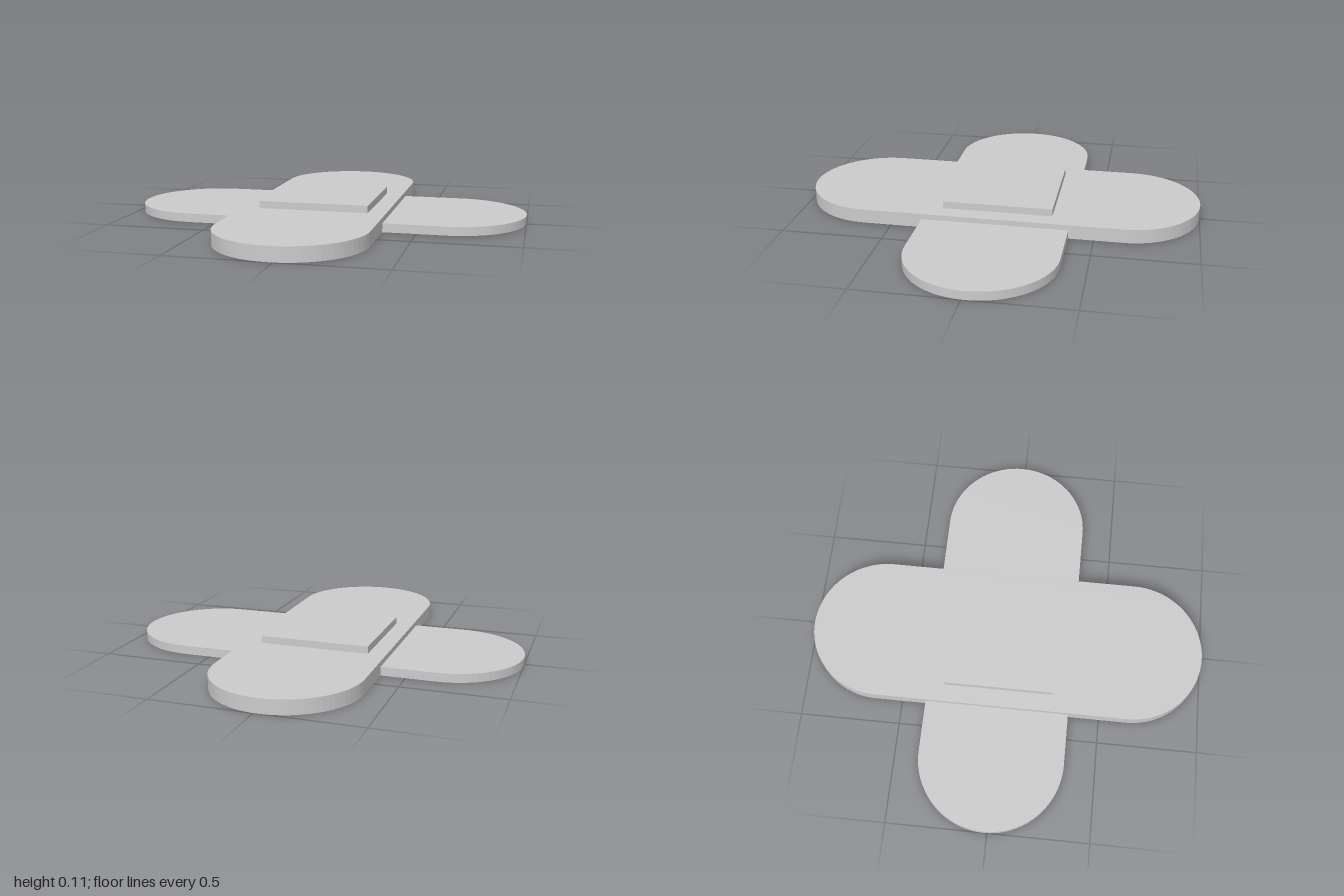
import * as THREE from 'three';

const material = new THREE.MeshStandardMaterial({ color: 0xcccccc, flatShading: true });

// Flat strip lying along x, with a half-round cap at each end
function roundedStrip(length, width, height) {
  const r = width / 2;
  const s = length / 2 - r;
  const shape = new THREE.Shape();
  shape.moveTo(-s, -r);
  shape.lineTo(s, -r);
  shape.absarc(s, 0, r, -Math.PI / 2, Math.PI / 2, false);
  shape.lineTo(-s, r);
  shape.absarc(-s, 0, r, Math.PI / 2, Math.PI * 1.5, false);
  const geometry = new THREE.ExtrudeGeometry(shape, { depth: height, bevelEnabled: false, curveSegments: 20 });
  return geometry.rotateX(-Math.PI / 2);
}

export function createModel() {
  const group = new THREE.Group();
  const add = (name, geometry, x, y, z) => {
    const mesh = new THREE.Mesh(geometry, material);
    mesh.name = name;
    mesh.position.set(x, y, z);
    group.add(mesh);
    return mesh;
  };

  // Thin strip running side to side
  add('lowerStrip', roundedStrip(2, 0.722, 0.043), 0, 0, -0.017);

  // Thicker strip crossing over it, front to back
  add('upperStrip', roundedStrip(2, 0.722, 0.07), -0.02, 0, 0).rotation.y = Math.PI / 2;

  // Square pad on top of the crossing
  add('centrePad', new THREE.BoxGeometry(0.546, 0.037, 0.546), -0.02, 0.0875, -0.017);

  return group;
}
